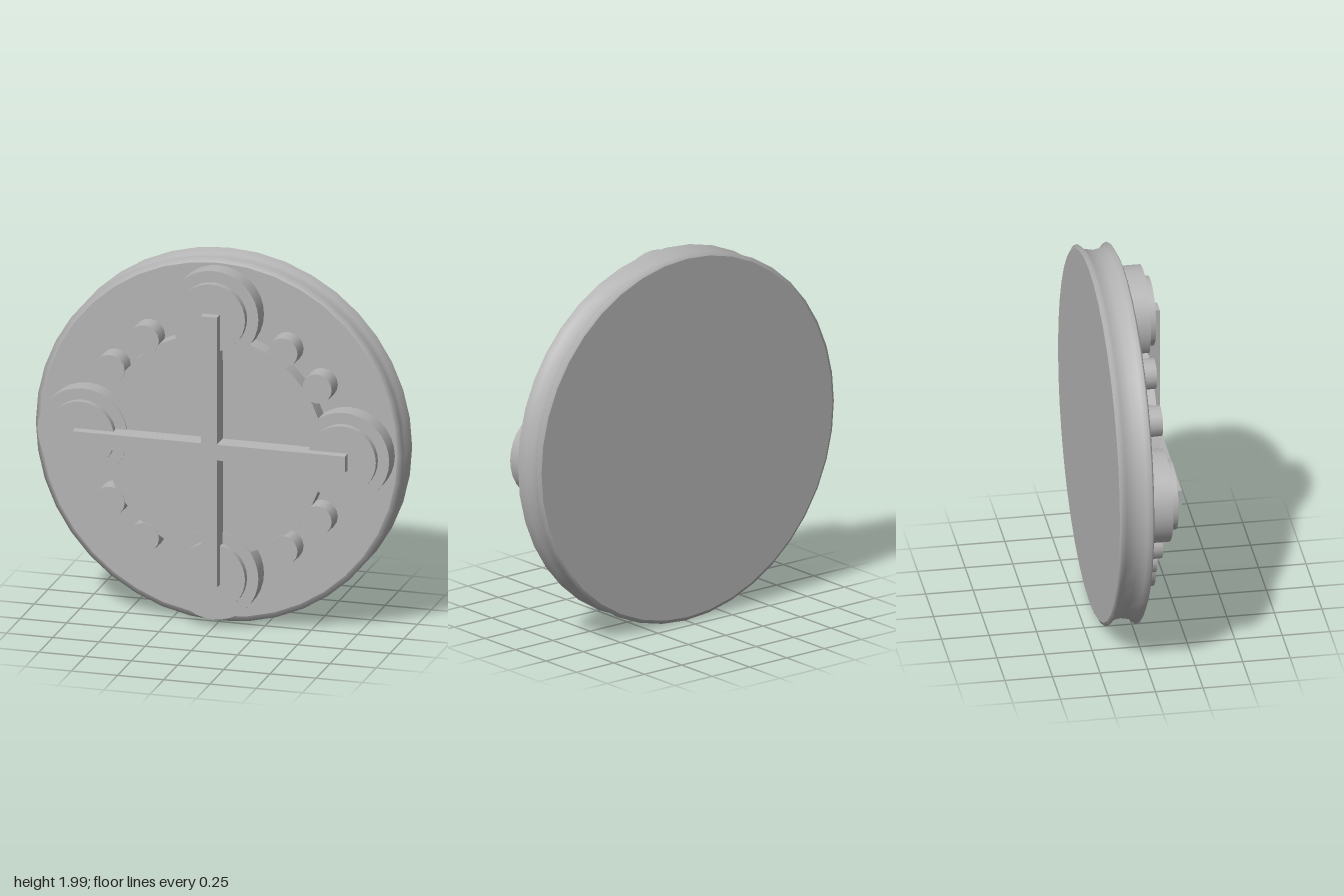
import * as THREE from 'three';

const TAU = Math.PI * 2;

export function createModel() {
  const model = new THREE.Group();
  const grey = new THREE.MeshStandardMaterial({ color: 0xb4b4b4 });
  grey.name = 'plain grey';

  const add = (name, geometry, x = 0, y = 0, z = 0) => {
    const mesh = new THREE.Mesh(geometry, grey);
    mesh.name = name;
    mesh.position.set(x, y + 1, z);
    model.add(mesh);
    return mesh;
  };

  // Upright round drum between two depths, facing the front
  const drum = (name, x, y, radius, back, front, sides = 32, rearRadius = radius) => {
    const g = new THREE.CylinderGeometry(radius, rearRadius, front - back, sides);
    g.rotateX(Math.PI / 2);
    return add(name, g, x, y, (front + back) / 2);
  };

  // Grooved rim: chamfered flanges around a shallow hollow
  const rim = new THREE.LatheGeometry([
    [0.975, -0.183], [0.995, -0.17], [0.968, -0.145], [0.958, -0.09],
    [0.968, -0.038], [0.995, -0.014], [0.965, 0],
  ].map(([r, z]) => new THREE.Vector2(r, z)), 40);
  rim.rotateX(Math.PI / 2);
  add('rim', rim);

  // Flat front and back faces of the disc
  add('frontFace', new THREE.CircleGeometry(0.965, 40).rotateZ(Math.PI / 2));
  add('backFace', new THREE.CircleGeometry(0.975, 40).rotateZ(Math.PI / 2).rotateY(Math.PI), 0, 0, -0.183);

  // Raised centre field that the lobes grow out of
  drum('centreField', 0, 0, 0.6, -0.01, 0.096, 40);

  // Four stepped bosses
  for (let i = 0; i < 4; i++) {
    const a = (i * TAU) / 4;
    const x = Math.cos(a) * 0.708, y = Math.sin(a) * 0.708;
    drum('bossBase', x, y, 0.244, -0.01, 0.102);
    drum('bossTop', x, y, 0.183, 0.09, 0.14);
  }

  // Two small lobes between each pair of bosses
  for (const sx of [-1, 1]) {
    for (const sy of [-1, 1]) {
      for (const [x, y] of [[0.375, 0.54], [0.56, 0.36]]) {
        drum('lobe', sx * x, sy * y, 0.08, -0.01, 0.1, 16, 0.084);
      }
    }
  }

  // Raised cross with slightly sloping sides
  const bar = new THREE.BoxGeometry(1.48, 0.1, 0.09);
  const p = bar.attributes.position;
  for (let i = 0; i < p.count; i++) {
    if (p.getZ(i) > 0) p.setXY(i, p.getX(i) * 0.995, p.getY(i) * 0.86);
  }
  bar.computeVertexNormals();
  add('crossBarHorizontal', bar, 0, -0.01, 0.138);
  add('crossBarVertical', bar, 0, -0.01, 0.138).rotation.z = Math.PI / 2;

  return model;
}
